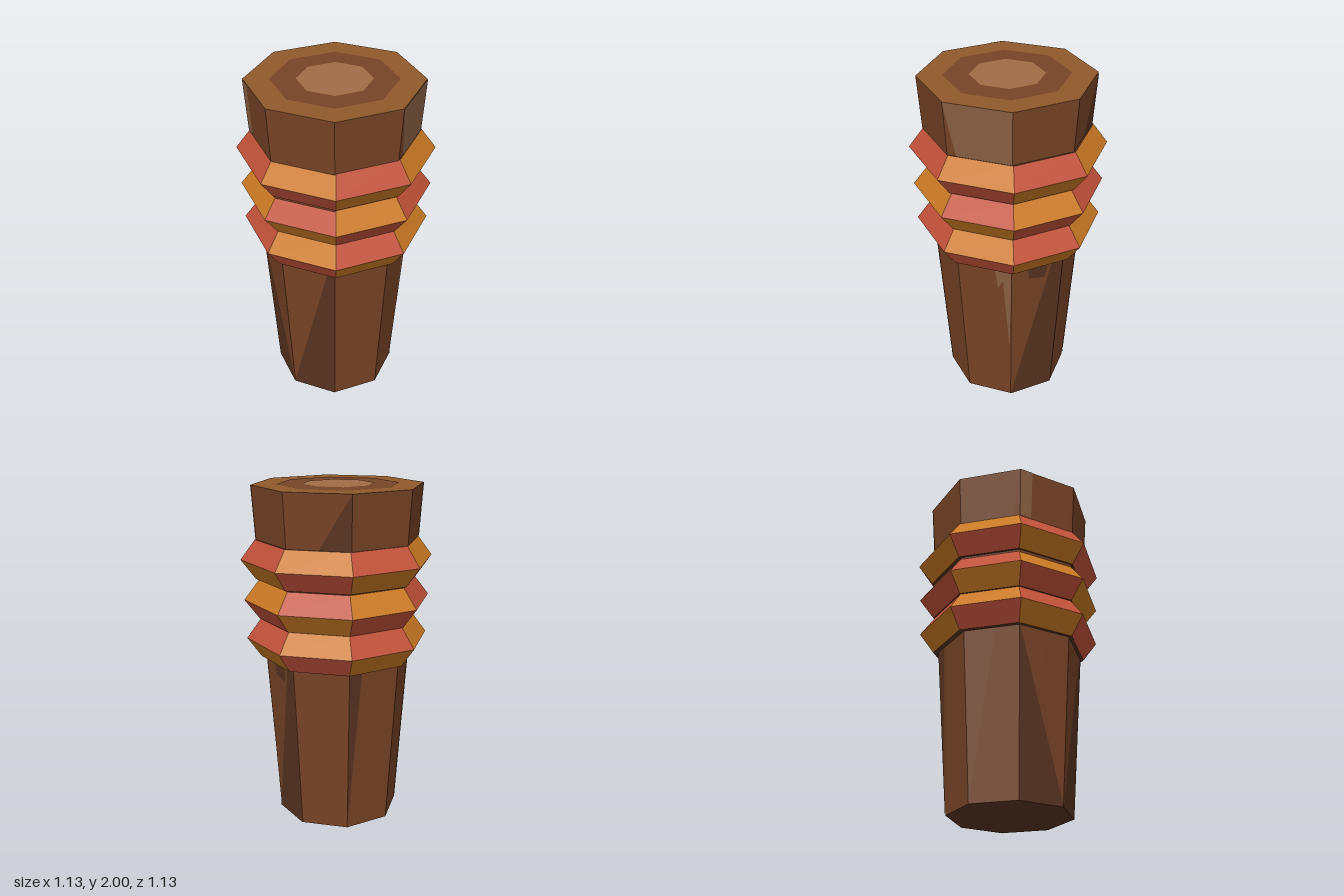
import * as THREE from 'three';

const SIDES = 8, POST_Z = 0.008;
const mat = (color) => new THREE.MeshStandardMaterial({ color, flatShading: true, side: THREE.DoubleSide });
const wood = mat(0x784426), darkWood = mat(0x5a3421), paleWood = mat(0x8a6144), rim = mat(0x8f5a2b);
const core = mat(0xa06c46), orange = mat(0xcb7a24), red = mat(0xc2523a);

// Corner k of an octagon
const corner = (k, r, y) => {
  const a = (k / SIDES) * Math.PI * 2;
  return new THREE.Vector3(r * Math.sin(a), y, r * Math.cos(a));
};

// Convex polygons, given counter-clockwise, merged into one mesh
function polyMesh(name, polys, material) {
  const points = [];
  for (const p of polys)
    for (let i = 1; i < p.length - 1; i++) points.push(p[0], p[i], p[i + 1]);
  const geo = new THREE.BufferGeometry().setFromPoints(points);
  geo.computeVertexNormals();
  const mesh = new THREE.Mesh(geo, material);
  mesh.name = name;
  return mesh;
}

function makePost() {
  const post = new THREE.Group();
  post.name = 'post';
  post.position.z = POST_Z;

  const shaft = new THREE.Mesh(new THREE.CylinderGeometry(0.5, 0.36, 2, SIDES), [wood, rim, darkWood]);
  shaft.name = 'shaft';
  shaft.position.y = 1;
  post.add(shaft);

  // Growth rings on the cut end
  [[0.355, wood, 'growthRing'], [0.212, core, 'heartwood']].forEach(([r, m, name], i) => {
    const disc = new THREE.Mesh(new THREE.CircleGeometry(r, SIDES), m);
    disc.name = name;
    disc.rotation.x = -Math.PI / 2;
    disc.position.y = 2.001 + i * 0.001;
    post.add(disc);
  });

  // Stained patches: side number, material, corners as [across, height]
  const patches = [
    [0, darkWood, [[0, 0], [1, 0], [1, 1], [0.87, 1]]],
    [7, darkWood, [[1, 0], [0, 1], [0, 0]]],
    [7, paleWood, [[0, 1.69], [0.2, 1.69], [0.22, 2], [0, 2]]],
    [2, paleWood, [[0.15, 1.69], [1, 1.69], [1, 2], [0, 2]]],
    [2, paleWood, [[0.75, 0.85], [1, 1], [0.68, 1]]],
    [2, paleWood, [[0.97, 0.4], [1, 1], [0.82, 1]]],
    [3, darkWood, [[0, 0], [1, 0], [1, 1], [0.8, 1]]],
    [3, darkWood, [[0.35, 0.9], [0.66, 0.88], [0.72, 1], [0.3, 1]]],
    [4, darkWood, [[0.5, 1.69], [1, 1.69], [1, 2]]],
    [5, darkWood, [[0, 0], [0.25, 1], [0, 1]]],
  ];
  const onSide = (k, u, y) => {
    const r = 0.363 + 0.07 * y;
    return corner(k, r, y).lerp(corner(k + 1, r, y), u);
  };
  for (const [k, m, pts] of patches)
    post.add(polyMesh('stain', [pts.map(([u, y]) => onSide(k, u, y))], m));
  return post;
}

// Diamond-section band with chequered facets
function makeBand(y, edge, radius, shift) {
  const band = new THREE.Group();
  band.name = 'band';
  band.position.y = y;
  const h = 0.115, groups = [[], []], lips = [];
  const quad = (k, r0, y0, r1, y1) =>
    [corner(k, r0, y0), corner(k + 1, r0, y0), corner(k + 1, r1, y1), corner(k, r1, y1)];
  for (let k = 0; k < SIDES; k++) {
    groups[(k + shift) % 2].push(quad(k, radius, 0, edge, h));
    groups[(k + shift + 1) % 2].push(quad(k, edge, -h, radius, 0));
    lips.push(quad(k, edge, h, 0.38, h), quad(k, 0.38, -h, edge, -h));
  }
  band.add(
    polyMesh('orangeFacets', groups[0], orange),
    polyMesh('redFacets', groups[1], red),
    polyMesh('lips', lips, darkWood),
  );
  return band;
}

export function createModel() {
  const model = new THREE.Group();
  model.name = 'carvedPost';
  model.add(makePost());
  [[1.105, 0.457, 0.54], [1.337, 0.463, 0.55], [1.575, 0.48, 0.565]].forEach(
    ([y, edge, radius], i) => model.add(makeBand(y, edge, radius, i % 2)));
  return model;
}
